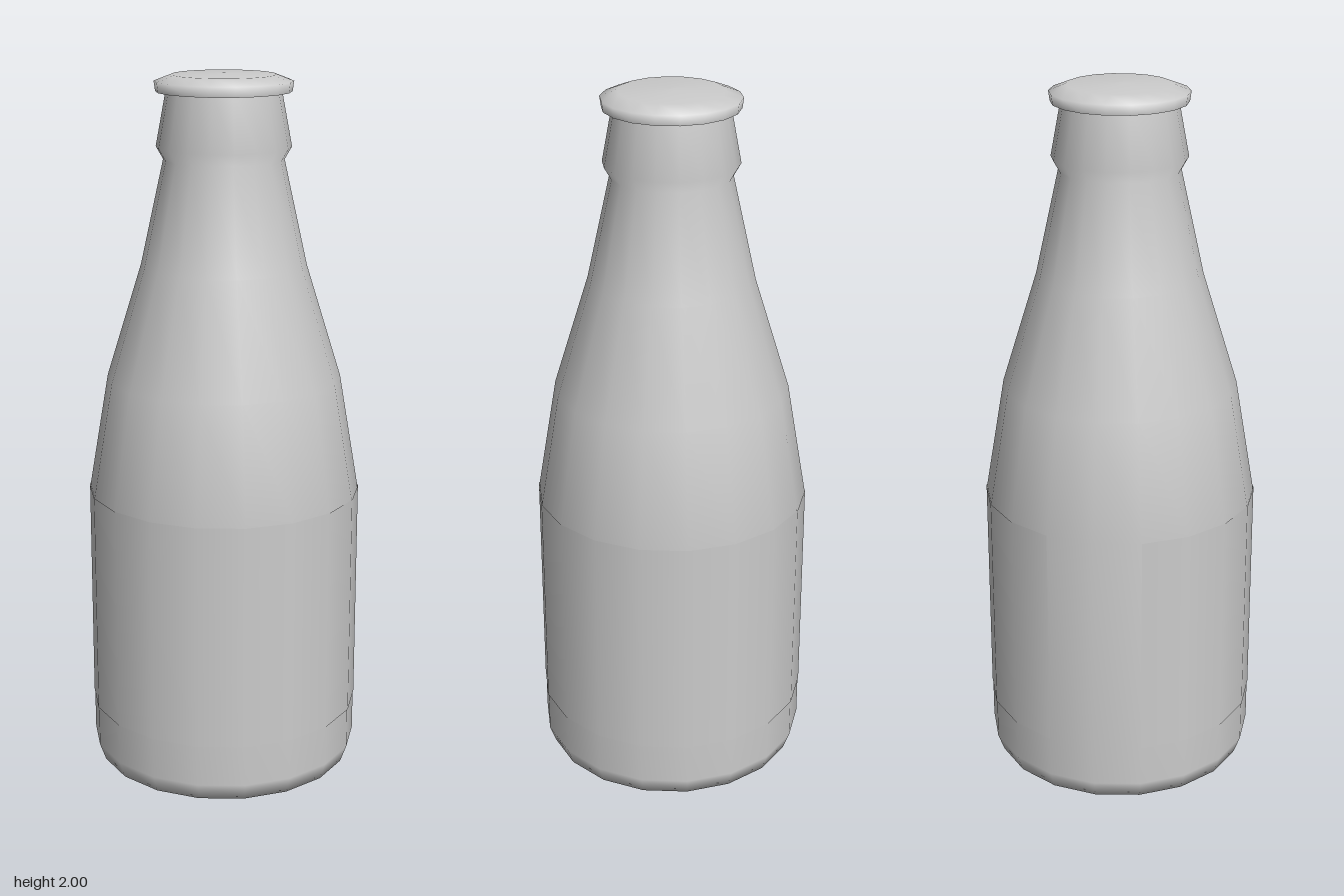
import * as THREE from 'three';

const SIDES = 18;
const deg = THREE.MathUtils.degToRad;

export function createModel() {
  const group = new THREE.Group();
  const grey = new THREE.MeshStandardMaterial({ color: 0xcccccc });
  const thin = new THREE.MeshStandardMaterial({ color: 0xcccccc, side: THREE.DoubleSide });

  // Turned part from [radius, height] points, listed from bottom to top
  function turned(name, profile, material = grey, segments = SIDES, start = 0, sweep = 360) {
    const points = profile.map(([r, y]) => new THREE.Vector2(r, y));
    const geometry = new THREE.LatheGeometry(points, segments, deg(start), deg(sweep));
    const mesh = new THREE.Mesh(geometry, material);
    mesh.name = name;
    group.add(mesh);
  }

  // Glass: base, straight body, shoulder, neck and neck ring
  turned('bottleBody', [
    [0, 0], [0.37, 0], [0.388, 0.05], [0.388, 0.82],
    [0.332, 1.15], [0.233, 1.47], [0.168, 1.765],
    [0.188, 1.8], [0.158, 1.96],
  ]);

  // Wrapped label with a gap at the back
  turned('label', [[0.39, 0.17], [0.39, 0.82]], thin, 16, -80, 320);

  // Cap: flat underside, then rim and rounded top
  turned('capUnderside', [[0.15, 1.95], [0.188, 1.95]]);
  turned('cap', [[0.188, 1.95], [0.192, 1.978], [0.145, 1.996], [0, 2]]);

  return group;
}
